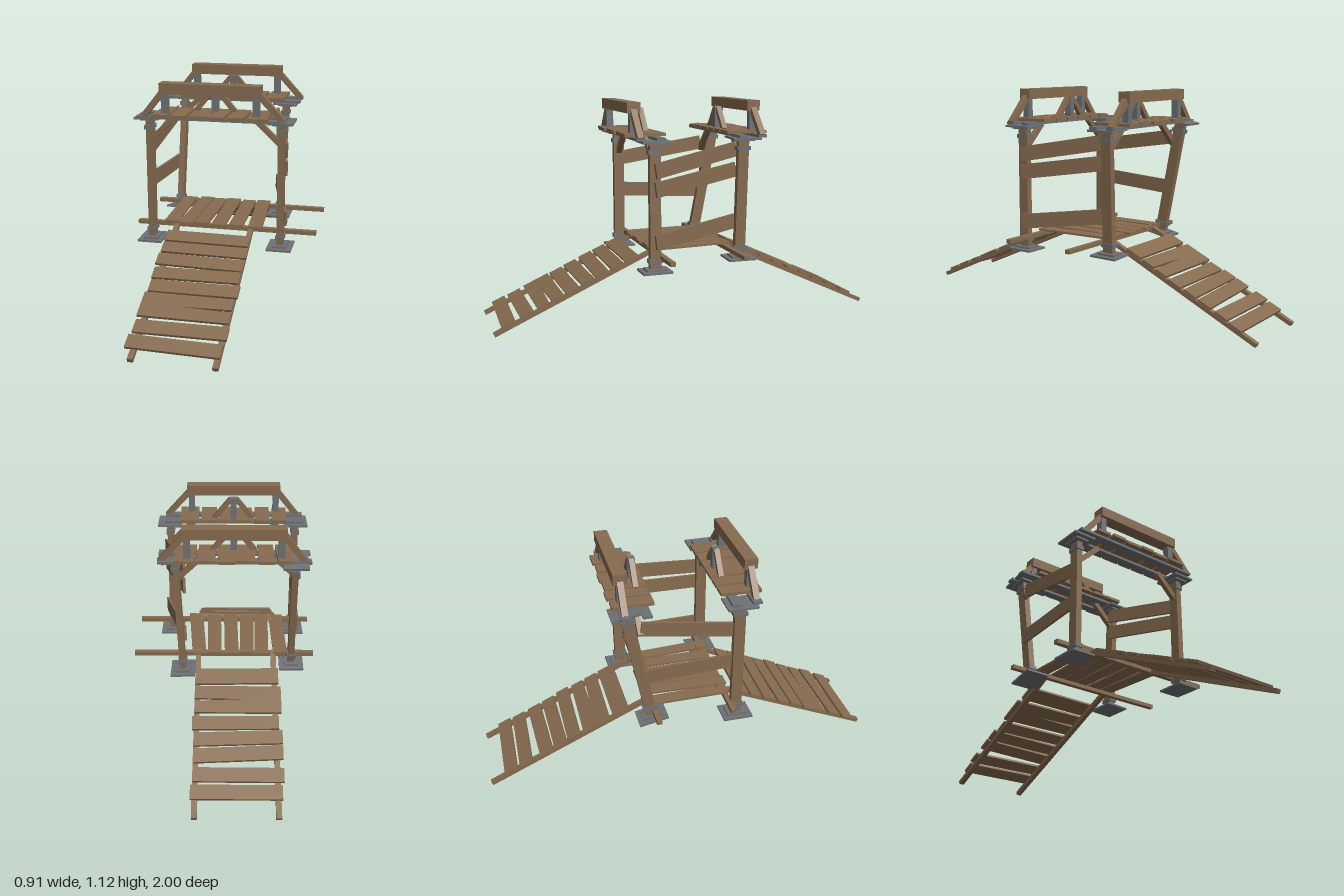
import * as THREE from 'three';

const wood = new THREE.MeshStandardMaterial({ color: 0x866b4f });
wood.name = 'weatheredWood';
const metal = new THREE.MeshStandardMaterial({ color: 0x6e7174 });
metal.name = 'greyMetal';

const V = (x, y, z) => new THREE.Vector3(x, y, z);

function box(parent, name, mat, w, h, d, x, y, z) {
  const m = new THREE.Mesh(new THREE.BoxGeometry(w, h, d), mat);
  m.name = name;
  m.position.set(x, y, z);
  parent.add(m);
  return m;
}

// Straight timber from a to b
function bar(parent, name, a, b, w, h, mat = wood) {
  const mid = a.clone().add(b).multiplyScalar(0.5);
  const m = new THREE.Mesh(new THREE.BoxGeometry(w, h, a.distanceTo(b)), mat);
  m.name = name;
  m.position.copy(mid);
  m.lookAt(b);
  parent.add(m);
  return m;
}

// Flat board with an outline given as [x, z] corners, top face at y
function slab(parent, name, corners, y, t) {
  const shape = new THREE.Shape(corners.map(([x, z]) => new THREE.Vector2(x, z)));
  const geo = new THREE.ExtrudeGeometry(shape, { depth: t, bevelEnabled: false });
  geo.rotateX(Math.PI / 2);
  const m = new THREE.Mesh(geo, wood);
  m.name = name;
  m.position.y = y;
  parent.add(m);
}

// Sloping ramp: two rails and uneven cross planks [x0, x1, zLeft, zRight, depth, split]
function ramp(name, side, slope, planks) {
  const g = new THREE.Group();
  g.name = name;
  const angle = Math.atan(slope), k = 1 / Math.cos(angle);
  g.position.y = 0.475;
  g.rotation.x = side * angle;
  for (const x of [-0.25, 0.129])
    box(g, 'rampRail', wood, 0.026, 0.02, 0.83 * k, x, 0, side * 0.583 * k);
  for (const [x0, x1, zl, zr, d, split] of planks) {
    const pts = [[x0, zl], [x1, zr]];
    // Wedge-shaped crack running in from the right end
    if (split) pts.push([x1, zr + d * 0.46], [x0 + 0.18, zl + d * 0.5], [x1, zr + d * 0.56]);
    pts.push([x1, zr + d], [x0, zl + d]);
    slab(g, 'rampPlank', pts.map(([x, z]) => [x, side * z * k]), 0.022, 0.013);
  }
  return g;
}

// Post with metal foot, bands and cap, leaning from a to b
function post(name, a, b) {
  const g = new THREE.Group();
  g.name = name;
  const dir = b.clone().sub(a), L = dir.length();
  g.position.copy(a);
  g.quaternion.setFromUnitVectors(V(0, 1, 0), dir.normalize());
  box(g, 'postShaft', wood, 0.031, L - 0.02, 0.055, 0, L / 2, 0);
  for (const [y, s] of [[0, 1], [L, -1]]) {
    box(g, 'endPlate', metal, 0.122, 0.01, 0.148, 0, y + s * 0.005, 0);
    box(g, 'endCollar', metal, 0.072, 0.009, 0.1, 0, y + s * 0.0145, 0);
    box(g, 'postBand', metal, 0.042, 0.02, 0.07, 0, y + s * 0.056, 0);
  }
  return g;
}

// Overhead portal: planked shelf, ridge beam on struts, and an inner A-frame
function portal(name, side) {
  const g = new THREE.Group();
  g.name = name;
  const zo = side * 0.312, zi = side * 0.212;
  for (const z of [zo, zi])
    box(g, 'shelfRail', metal, 0.72, 0.013, 0.045, -0.05, 0.957, z);
  const edges = [[-0.32, -0.245], [-0.235, -0.16], [-0.15, -0.055],
    [-0.045, 0.03], [0.04, 0.12], [0.13, 0.225]];
  edges.forEach(([x0, x1], i) => {
    const skew = (i % 3 - 1) * 0.006, out = 0.36 + (i % 2) * 0.008;
    slab(g, 'shelfPlank', [[x0, side * 0.16], [x1, side * 0.16],
      [x1 + skew, side * out], [x0 + skew, side * out]], 0.979, 0.015);
  });
  box(g, 'ridgeBeam', wood, 0.487, 0.052, 0.066, -0.048, 1.1, zo);
  for (const x of [-0.27, 0.172])
    box(g, 'beamStrut', metal, 0.032, 0.105, 0.036, x, 1.025, zo);
  bar(g, 'endBrace', V(-0.38, 0.958, zo), V(-0.275, 1.09, zo), 0.03, 0.028);
  bar(g, 'endBrace', V(0.3, 0.958, zo), V(0.18, 1.09, zo), 0.03, 0.028);
  box(g, 'kingPost', metal, 0.032, 0.11, 0.036, -0.047, 1.03, zi);
  bar(g, 'innerBrace', V(-0.148, 0.972, zi), V(-0.06, 1.08, zi), 0.026, 0.024);
  bar(g, 'innerBrace', V(0.054, 0.972, zi), V(-0.034, 1.08, zi), 0.026, 0.024);
  // Knee braces from the posts up to the shelf
  const zk = side * 0.238, xr = side > 0 ? 0.275 : 0.225;
  bar(g, 'kneeBrace', V(-0.36, 0.835, zk), V(-0.24, 0.95, zk), 0.026, 0.026);
  bar(g, 'kneeBrace', V(xr, 0.835, zk), V(xr - 0.12, 0.95, zk), 0.026, 0.026);
  return g;
}

export function createModel() {
  const model = new THREE.Group();
  model.name = 'woodenFootbridge';

  // Ramps
  model.add(ramp('frontRamp', 1, 0.446, [
    [-0.28, 0.14, 0.27, 0.275, 0.065], [-0.28, 0.145, 0.345, 0.35, 0.062],
    [-0.285, 0.14, 0.418, 0.426, 0.066], [-0.28, 0.14, 0.503, 0.498, 0.064],
    [-0.275, 0.152, 0.578, 0.576, 0.066], [-0.285, 0.14, 0.652, 0.652, 0.13, true],
    [-0.28, 0.15, 0.803, 0.8, 0.066], [-0.29, 0.14, 0.882, 0.89, 0.066],
  ]));
  model.add(ramp('backRamp', -1, 0.463, [
    [-0.27, 0.14, 0.28, 0.285, 0.08], [-0.28, 0.14, 0.378, 0.378, 0.135, true],
    [-0.265, 0.15, 0.53, 0.533, 0.064], [-0.28, 0.14, 0.6, 0.613, 0.064],
    [-0.28, 0.14, 0.672, 0.69, 0.066], [-0.28, 0.14, 0.78, 0.778, 0.064],
    [-0.27, 0.15, 0.858, 0.857, 0.064],
  ]));

  // Deck planks fanned over two cross beams
  const deck = new THREE.Group();
  deck.name = 'deck';
  model.add(deck);
  for (const z of [0.203, -0.172])
    box(deck, 'crossBeam', wood, 0.91, 0.02, 0.027, 0, 0.385, z);
  const back = [-0.32, -0.225, -0.15, -0.075, 0.012, 0.088];
  const front = [-0.315, -0.238, -0.16, -0.07, 0.018, 0.118];
  back.forEach((x, i) => {
    const f = front[i], e = (i % 2) * 0.012;
    slab(deck, 'deckPlank', [[x, -0.195 - e], [x + 0.07, -0.195 - e],
      [f + 0.072, 0.22 + e], [f, 0.22 + e]], 0.404, 0.01);
  });

  // Four posts, the back pair leaning
  model.add(
    post('frontRightPost', V(-0.37, 0.312, 0.238), V(-0.37, 0.95, 0.238)),
    post('frontLeftPost', V(0.283, 0.312, 0.238), V(0.283, 0.95, 0.238)),
    post('backLeftPost', V(0.205, 0.326, -0.235), V(0.233, 0.95, -0.24)),
    post('backRightPost', V(-0.34, 0.348, -0.185), V(-0.336, 0.962, -0.305)),
  );

  // Overhead portals
  model.add(portal('frontPortal', 1), portal('backPortal', -1));

  // Crooked side boards: height at front and back ends
  const sides = new THREE.Group();
  sides.name = 'sideBoards';
  model.add(sides);
  for (const [yf, yb] of [[0.805, 0.885], [0.715, 0.783], [0.46, 0.52]])
    bar(sides, 'leftSideBoard', V(0.308, yf, 0.24), V(0.192, yb, -0.215), 0.013, 0.074);
  for (const [yf, yb] of [[0.8, 0.87], [0.628, 0.598]])
    bar(sides, 'rightSideBoard', V(-0.36, yf, 0.225), V(-0.358, yb, -0.235), 0.012, 0.074);

  return model;
}
